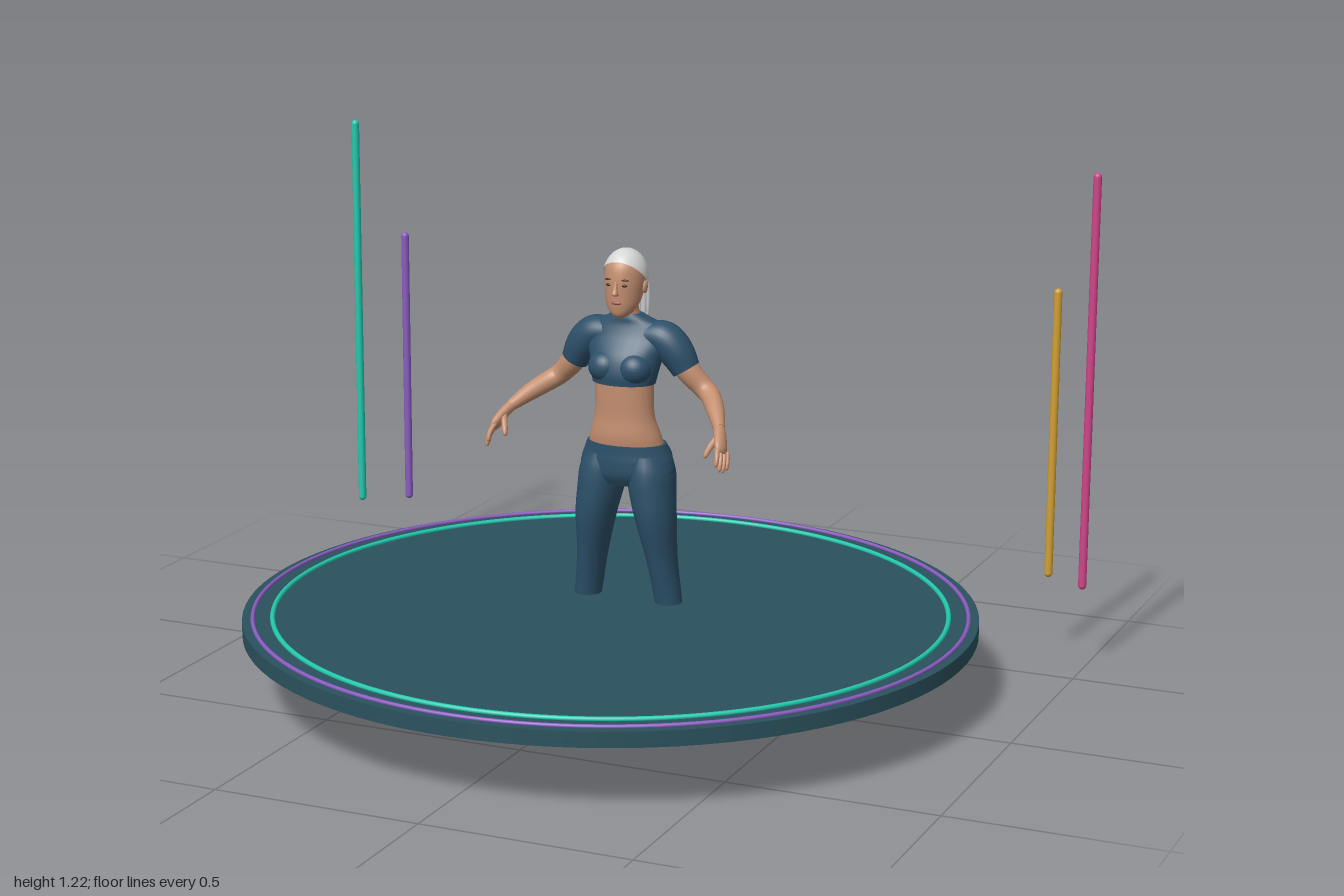
import * as THREE from 'three';

const mat = (name, color, side = THREE.FrontSide) => {
  const m = new THREE.MeshStandardMaterial({ color, side });
  m.name = name;
  return m;
};

// Sweeps elliptical rings through sections [x, y, z, radiusA, radiusB].
// level = true keeps the rings horizontal (list sections from bottom to top).
function sweep(sections, level = true, rings = 28, sides = 28) {
  const path = new THREE.CatmullRomCurve3(sections.map(s => new THREE.Vector3(s[0], s[1], s[2])), false, 'catmullrom');
  const radii = new THREE.CatmullRomCurve3(sections.map(s => new THREE.Vector3(s[3], s[4] ?? s[3], 0)), false, 'catmullrom');
  const pos = [], idx = [], up = new THREE.Vector3(0, 1, 0), ref = new THREE.Vector3(0, 0, 1);
  const addRing = t => {
    const c = path.getPoint(t), r = radii.getPoint(t);
    const dir = level ? up : path.getTangent(t);
    const a = new THREE.Vector3().crossVectors(dir, ref).normalize();
    const b = new THREE.Vector3().crossVectors(a, dir);
    for (let j = 0; j < sides; j++) {
      const w = j / sides * Math.PI * 2;
      const p = c.clone().addScaledVector(a, r.x * Math.cos(w)).addScaledVector(b, r.y * Math.sin(w));
      pos.push(p.x, p.y, p.z);
    }
    return c;
  };
  for (let i = 0; i <= rings; i++) addRing(i / rings);
  for (let i = 0; i < rings; i++) {
    for (let j = 0; j < sides; j++) {
      const a = i * sides + j, c = i * sides + (j + 1) % sides;
      idx.push(a, a + sides, c, c, a + sides, c + sides);
    }
  }
  // flat end caps
  for (const t of [0, 1]) {
    const start = pos.length / 3, c = addRing(t), mid = start + sides;
    pos.push(c.x, c.y, c.z);
    for (let j = 0; j < sides; j++) {
      const p = start + j, q = start + (j + 1) % sides;
      t ? idx.push(mid, q, p) : idx.push(mid, p, q);
    }
  }
  const g = new THREE.BufferGeometry();
  g.setAttribute('position', new THREE.Float32BufferAttribute(pos, 3));
  g.setIndex(idx);
  g.computeVertexNormals();
  return g;
}

const ball = (x, y, z, rx, ry, rz) =>
  new THREE.SphereGeometry(1, 24, 16).scale(rx, ry, rz).translate(x, y, z);

export function createModel() {
  const model = new THREE.Group();
  const skin = mat('skin', 0xc48f70), navy = mat('navy cloth', 0x2c5069);
  const white = mat('pale grey', 0xd6d6d6, THREE.DoubleSide), deck = mat('deck teal', 0x2b525e);
  const cyan = mat('cyan', 0x22c9ae), purple = mat('purple', 0x8a5cc0);
  const gold = mat('gold', 0xd2a032), pink = mat('magenta', 0xd0448a);
  const dark = mat('dark brown', 0x3a2a26), lip = mat('lip', 0xa5605a);

  const add = (name, geo, material, parent = model) => {
    const m = new THREE.Mesh(geo, material);
    m.name = name;
    parent.add(m);
    return m;
  };

  // Round stage with two trim rings
  add('stage', new THREE.CylinderGeometry(0.875, 0.875, 0.037, 96).translate(0, 0.175, 0), deck);
  for (const [name, r, t, m] of [['innerRing', 0.803, 0.006, cyan], ['outerRing', 0.85, 0.005, purple]]) {
    add(name, new THREE.TorusGeometry(r, t, 10, 128).rotateX(Math.PI / 2).translate(0, 0.196, 0), m);
  }

  // Light poles behind the stage
  for (const [x, z, top, m] of [[-0.99, -0.588, 1.222, cyan], [-0.885, -0.655, 0.923, purple],
    [0.885, -0.655, 0.923, gold], [0.99, -0.588, 1.222, pink]]) {
    add('pole', new THREE.CapsuleGeometry(0.01, top - 0.22, 6, 16).translate(x, (top + 0.2) / 2, z), m);
  }

  const figure = new THREE.Group();
  figure.name = 'figure';
  model.add(figure);
  const part = (name, geo, m) => add(name, geo, m, figure);

  // Bare midriff and neck
  part('midriff', sweep([
    [0, 0.55, -0.1, 0.1, 0.06], [0, 0.6, -0.09, 0.09, 0.06], [0, 0.65, -0.082, 0.076, 0.05],
    [0, 0.7, -0.08, 0.073, 0.049], [0, 0.76, -0.08, 0.074, 0.05]]), skin);
  part('neck', sweep([
    [0, 0.865, -0.106, 0.036, 0.032], [0, 0.893, -0.103, 0.029, 0.028],
    [0, 0.915, -0.097, 0.026, 0.027], [0, 0.95, -0.092, 0.028, 0.03]]), skin);

  // Cropped top
  part('cropTop', sweep([
    [0, 0.733, -0.078, 0.078, 0.057], [0, 0.76, -0.081, 0.084, 0.062], [0, 0.8, -0.091, 0.093, 0.061],
    [0, 0.84, -0.105, 0.104, 0.049], [0, 0.87, -0.108, 0.088, 0.039], [0, 0.886, -0.105, 0.055, 0.034],
    [0, 0.896, -0.102, 0.036, 0.029]]), navy);

  // Leggings seat
  part('leggingsSeat', sweep([
    [0, 0.485, -0.1, 0.085, 0.055], [0, 0.51, -0.1, 0.117, 0.068], [0, 0.54, -0.1, 0.116, 0.071],
    [0, 0.565, -0.099, 0.107, 0.069], [0, 0.585, -0.096, 0.099, 0.066]]), navy);

  // Head
  part('head', sweep([
    [0, 0.893, -0.056, 0.01, 0.013], [0, 0.902, -0.06, 0.024, 0.025], [0, 0.92, -0.069, 0.037, 0.038],
    [0, 0.945, -0.078, 0.044, 0.049], [0, 0.985, -0.084, 0.048, 0.055],
    [0, 1.02, -0.086, 0.043, 0.049], [0, 1.042, -0.087, 0.022, 0.026]]), skin);
  part('nose', sweep([
    [0, 0.948, -0.03, 0.006, 0.006], [0, 0.953, -0.024, 0.008, 0.009],
    [0, 0.965, -0.027, 0.005, 0.006], [0, 0.982, -0.031, 0.004, 0.004]], true, 12, 14), skin);
  part('lips', ball(0, 0.931, -0.032, 0.013, 0.0045, 0.005), lip);

  // Swept-back hair and ponytail
  part('hair', new THREE.SphereGeometry(1, 36, 20, 0, Math.PI * 2, 0, Math.PI * 0.52)
    .rotateX(-0.72).scale(0.053, 0.067, 0.062).translate(0, 0.986, -0.087), white);
  const tail = (w, dx, dz) => [
    [0, 1.008, -0.138, 0.012 * w], [dx * 0.7, 0.987, -0.163 + dz * 0.7, 0.018 * w],
    [dx, 0.945, -0.176 + dz, 0.021 * w], [dx * 0.9, 0.89, -0.18 + dz * 0.8, 0.017 * w],
    [dx * 0.5, 0.85, -0.183 + dz * 0.4, 0.011 * w], [0, 0.818, -0.186, 0.003 * w]];
  part('ponytail', sweep(tail(0.85, 0, 0), false), white);
  for (let i = 0; i < 8; i++) {
    const a = i / 8 * Math.PI * 2;
    part('ponytailStrand', sweep(tail(0.32, 0.017 * Math.cos(a), 0.015 * Math.sin(a)), false, 20, 8), white);
  }

  for (const s of [1, -1]) {
    const mx = list => list.map(([x, ...rest]) => [x * s, ...rest]);

    // Face details
    part('ear', ball(s * 0.048, 0.963, -0.09, 0.006, 0.015, 0.01), skin);
    part('eye', ball(s * 0.019, 0.973, -0.0345, 0.008, 0.0035, 0.004), dark);
    part('brow', ball(s * 0.02, 0.986, -0.0345, 0.011, 0.002, 0.004), dark);

    // Bust, seat and sleeve
    part('bust', ball(s * 0.038, 0.772, -0.054, 0.041, 0.038, 0.039), navy);
    part('buttock', ball(s * 0.05, 0.535, -0.127, 0.052, 0.055, 0.05), navy);
    part('sleeve', sweep(mx([
      [0.05, 0.845, -0.108, 0.034, 0.04], [0.09, 0.838, -0.11, 0.042, 0.044],
      [0.12, 0.808, -0.112, 0.042, 0.042], [0.144, 0.768, -0.115, 0.034, 0.035]]), false), navy);

    // Arm
    part('arm', sweep(mx([
      [0.12, 0.805, -0.112, 0.03], [0.15, 0.763, -0.117, 0.029], [0.183, 0.728, -0.122, 0.025],
      [0.208, 0.71, -0.11, 0.024], [0.24, 0.687, -0.065, 0.021], [0.27, 0.66, -0.015, 0.0135]]), false), skin);

    // Hand with fingers and thumb
    part('palm', sweep(mx([
      [0.265, 0.665, -0.023, 0.013, 0.013], [0.278, 0.647, 0, 0.013, 0.018],
      [0.289, 0.625, 0.022, 0.012, 0.021], [0.294, 0.613, 0.031, 0.007, 0.016]]), false, 16, 18), skin);
    for (let i = 0; i < 4; i++) {
      const x = 0.285 + i * 0.005, y = 0.628 - i * 0.006, z = 0.04 - i * 0.009;
      const l = [0.9, 1.05, 1, 0.8][i];
      part('finger', sweep(mx([
        [x, y, z - 0.006, 0.006], [x + 0.007 * l, y - 0.02 * l, z + 0.012 * l, 0.0058],
        [x + 0.008 * l, y - 0.038 * l, z + 0.02 * l, 0.005],
        [x + 0.007 * l, y - 0.045 * l, z + 0.022 * l, 0.0015]]), false, 12, 10), skin);
    }
    part('thumb', sweep(mx([
      [0.275, 0.645, 0.008, 0.008], [0.265, 0.626, 0.026, 0.0075],
      [0.258, 0.607, 0.038, 0.006], [0.257, 0.6, 0.041, 0.0015]]), false, 12, 10), skin);

    // Leg
    part('leggingLeg', sweep(mx([
      [0.117, 0.065, -0.106, 0.023, 0.025], [0.116, 0.09, -0.106, 0.024, 0.026],
      [0.113, 0.14, -0.105, 0.03, 0.032], [0.105, 0.2, -0.104, 0.033, 0.035],
      [0.091, 0.3, -0.098, 0.036, 0.047], [0.078, 0.4, -0.09, 0.048, 0.06],
      [0.067, 0.47, -0.095, 0.055, 0.068], [0.061, 0.52, -0.1, 0.056, 0.07],
      [0.055, 0.56, -0.1, 0.045, 0.06]]), true, 40), navy);

    // Pale diamonds around the ankle
    for (let i = 0; i < 10; i++) {
      const a = i / 10 * Math.PI * 2;
      part('ankleDiamond', new THREE.OctahedronGeometry(1).scale(0.008, i % 2 ? 0.009 : 0.015, 0.003)
        .rotateY(a).translate(s * 0.114 + 0.0275 * Math.sin(a), 0.12, -0.105 + 0.0295 * Math.cos(a)), white);
    }

    // Shoe
    part('shoe', sweep(mx([
      [0.118, 0, -0.063, 0.029, 0.067], [0.119, 0.012, -0.063, 0.034, 0.073],
      [0.118, 0.03, -0.071, 0.033, 0.064], [0.117, 0.045, -0.086, 0.031, 0.049],
      [0.117, 0.06, -0.099, 0.028, 0.036], [0.117, 0.076, -0.105, 0.027, 0.03]])), white);
  }
  return model;
}
